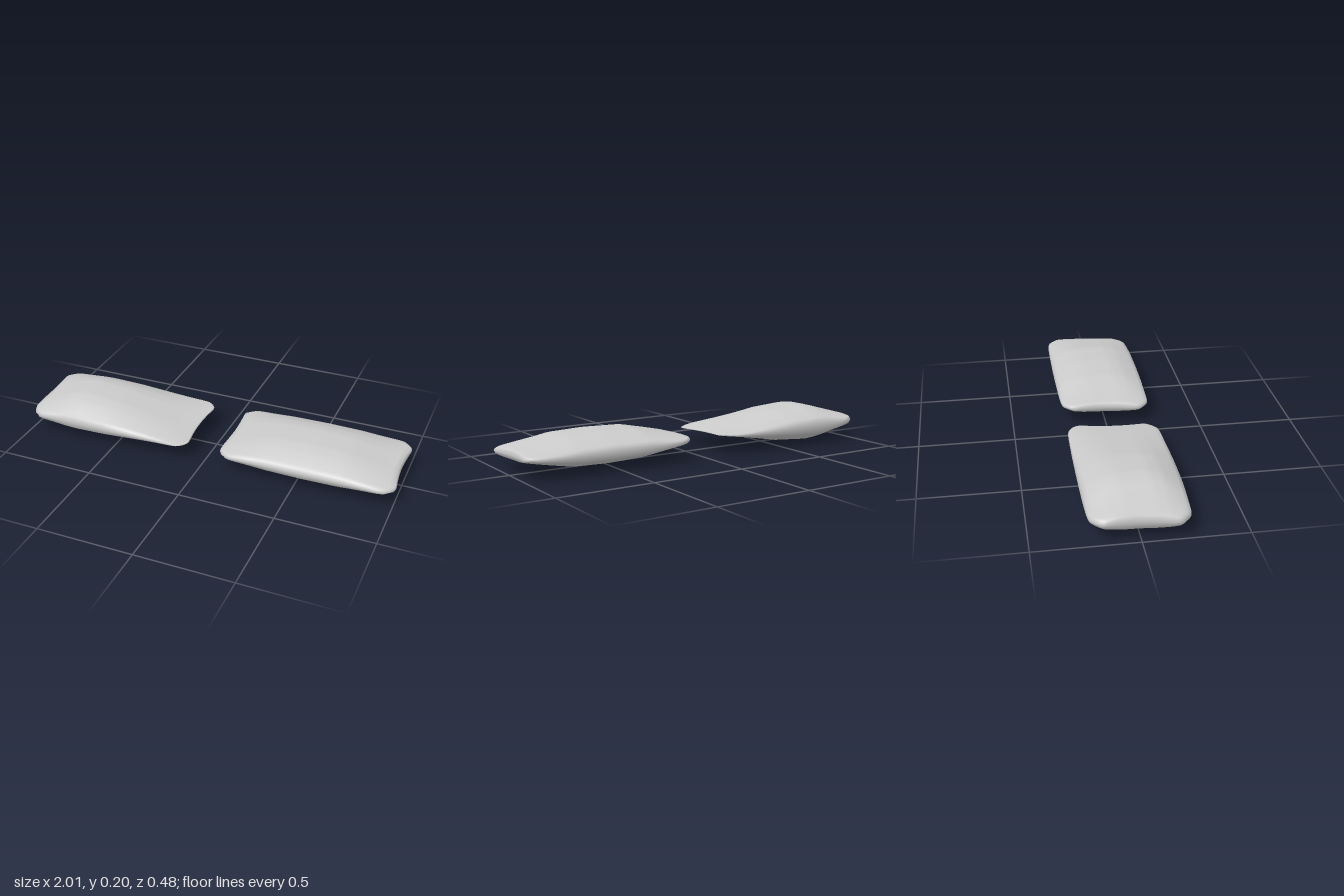
import * as THREE from 'three';
import { mergeVertices } from 'three/addons/utils/BufferGeometryUtils.js';

const material = new THREE.MeshStandardMaterial({ color: 0xcccccc });

// linear lookup in a list of [position, value] pairs
function lookup(points, t) {
  for (let i = 1; i < points.length; i++) {
    const [a, va] = points[i - 1], [b, vb] = points[i];
    if (t <= b) return THREE.MathUtils.mapLinear(Math.max(t, a), a, b, va, vb);
  }
  return points[points.length - 1][1];
}

// relative fullness from the middle (0) to the long edge (1)
const across = [[0, 1], [0.33, 0.99], [0.58, 0.86], [0.8, 0.62], [0.96, 0.4], [1, 0.34]];

// a stuffed cushion; fullness gives half its thickness along its length
function makeCushion(name, centreX, fullness) {
  let geometry = new THREE.BoxGeometry(2, 2, 2, 36, 2, 24);
  geometry.deleteAttribute('normal');
  geometry.deleteAttribute('uv');
  geometry = mergeVertices(geometry);
  const p = geometry.attributes.position;
  for (let i = 0; i < p.count; i++) {
    const u = p.getX(i), s = p.getY(i), v = p.getZ(i);
    const au = Math.abs(u), av = Math.abs(v);
    // outline: pinched short ends and rounded corners
    const halfX = 0.438 + 0.016 * Math.min(1, av / 0.85) ** 2 - 0.022 * av ** 14;
    const halfZ = 0.236 - 0.006 * au ** 2 - 0.028 * au ** 24;
    // the rim bulges slightly at mid-height
    const rim = 0.006 * (1 - Math.abs(s));
    const x = u * halfX + (au > 0.999 ? Math.sign(u) * rim : 0);
    const z = v * halfZ + (av > 0.999 ? Math.sign(v) * rim : 0);
    const half = lookup(fullness, u) * lookup(across, av);
    const y = 0.098 + s * half - 0.045 * z * u ** 4;
    p.setXYZ(i, centreX + x, y, z);
  }
  geometry.computeVertexNormals();
  const mesh = new THREE.Mesh(geometry, material);
  mesh.name = name;
  return mesh;
}

export function createModel() {
  const group = new THREE.Group();
  group.name = 'cushionPair';
  // wedge-shaped cushion, thick at its outer end
  group.add(makeCushion('rightCushion', -0.546,
    [[-1, 0.034], [-0.56, 0.09], [-0.4, 0.098], [0, 0.084], [1, 0.003]]));
  // evenly filled cushion
  group.add(makeCushion('leftCushion', 0.546,
    [[-1, 0.024], [-0.45, 0.073], [0, 0.08], [0.42, 0.073], [1, 0.022]]));
  return group;
}
